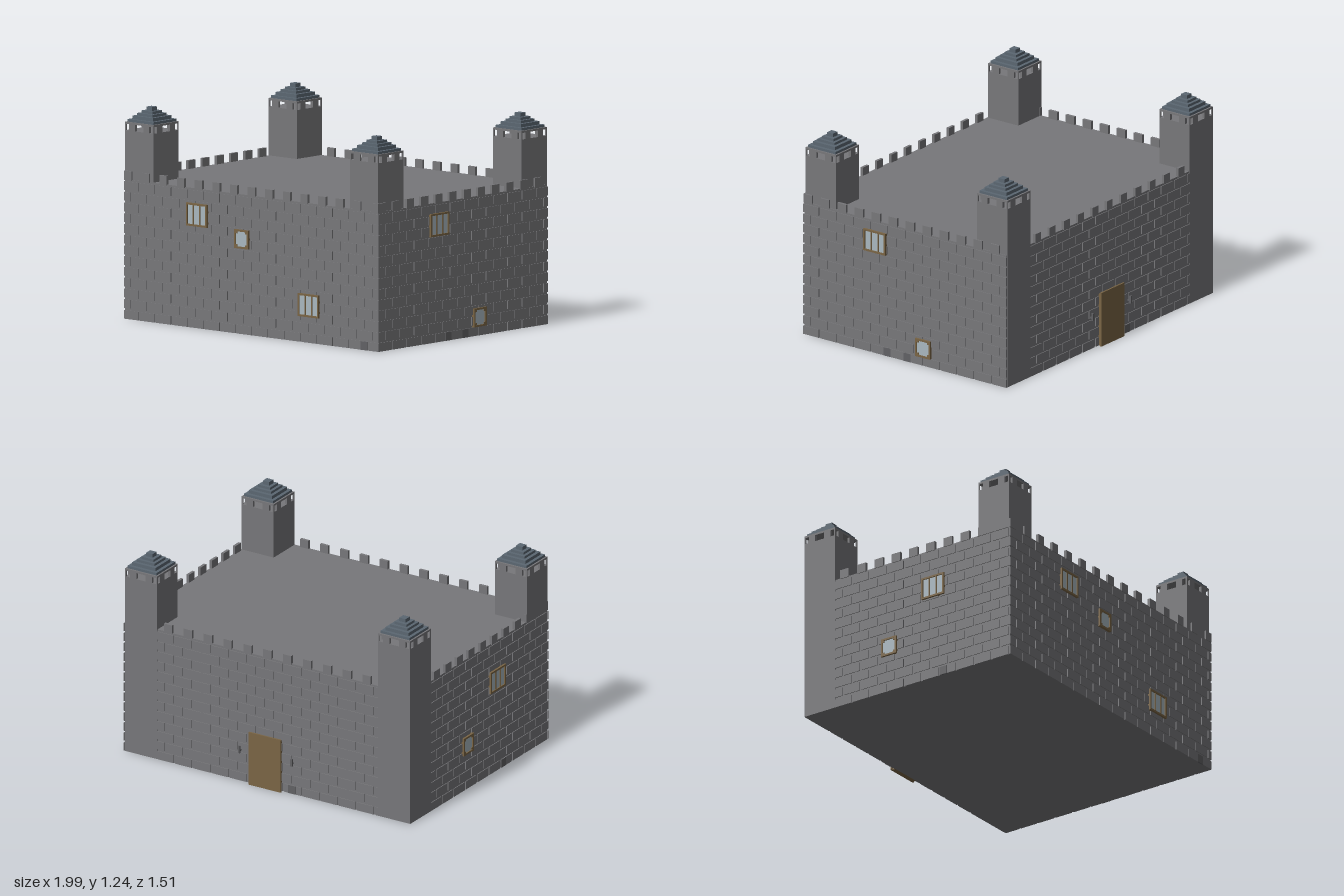
import * as THREE from 'three';
import { mergeGeometries } from 'three/addons/utils/BufferGeometryUtils.js';

const mat = (color) => new THREE.MeshStandardMaterial({ color });
const stone = mat(0x77777a);
const darkStone = mat(0x616164);
const slate = mat(0x5b6772);
const wood = mat(0x7a6545);
const glass = mat(0xa9b7bf);

// Box geometry given by its limits on each axis
function span(x0, x1, y0, y1, z0, z1) {
  return new THREE.BoxGeometry(x1 - x0, y1 - y0, z1 - z0)
    .translate((x0 + x1) / 2, (y0 + y1) / 2, (z0 + z1) / 2);
}

function add(parent, name, geos, material) {
  const mesh = new THREE.Mesh(Array.isArray(geos) ? mergeGeometries(geos) : geos, material);
  mesh.name = name;
  parent.add(mesh);
  return mesh;
}

// Staggered courses of slightly raised bricks
function bricks(u0, u1) {
  const geos = [], rows = 13, h = 0.815 / rows, w = 0.125, gap = 0.012;
  for (let r = 0; r < rows; r++) {
    for (let u = u0 - (r % 2 ? w / 2 : 0); u < u1; u += w) {
      const a = Math.max(u, u0), b = Math.min(u + w - gap, u1);
      if (b - a > 0.01) geos.push(span(a, b, r * h, (r + 1) * h - gap, -0.002, 0.005));
    }
  }
  return geos;
}

// Evenly spaced merlons along a wall top
function merlons(start, step, count, width) {
  return Array.from({ length: count }, (_, i) => {
    const u = start + i * step;
    return span(u - width / 2, u + width / 2, 0.81, 0.865, -0.012, 0.005);
  });
}

// Framed window; wide ones have two mullions, small ones have filled corners
function windowUnit(parent, u, y, wide) {
  const g = new THREE.Group();
  g.name = wide ? 'wideWindow' : 'smallWindow';
  g.position.set(u, y, 0);
  parent.add(g);
  const w = wide ? 0.08 : 0.054, h = wide ? 0.067 : 0.055, t = 0.011, d = 0.017;
  const frame = [
    span(-w, w, h - t, h, 0, d), span(-w, w, -h, t - h, 0, d),
    span(-w, t - w, t - h, h - t, 0, d), span(w - t, w, t - h, h - t, 0, d),
  ];
  if (wide) {
    for (const s of [-1, 1]) frame.push(span(s * 0.025 - 0.004, s * 0.025 + 0.004, t - h, h - t, 0, d - 0.002));
  } else {
    for (const sx of [-1, 1]) for (const sy of [-1, 1]) {
      frame.push(new THREE.BoxGeometry(0.012, 0.012, d - 0.002)
        .translate(sx * (w - t - 0.006), sy * (h - t - 0.006), (d - 0.002) / 2));
    }
  }
  add(g, 'windowFrame', frame, wood);
  add(g, 'windowGlass', span(t - w, w - t, t - h, h - t, 0, 0.01), glass);
}

// Wall: local x runs along the face, local z points outward
function wall(parent, name, x, z, angle, spec) {
  const g = new THREE.Group();
  g.name = name;
  g.position.set(x, 0, z);
  g.rotation.y = angle;
  parent.add(g);
  add(g, 'bricks', bricks(...spec.range), stone);
  add(g, 'merlons', merlons(...spec.merlons), stone);
  for (const w of spec.windows ?? []) windowUnit(g, ...w);
  for (const u of spec.vents) add(g, 'footStone', span(u - 0.025, u + 0.025, 0, 0.05, 0, 0.007), darkStone);
  return g;
}

// Corner tower with an open belfry and a stepped roof
function tower(parent, name, x, z, base) {
  const g = new THREE.Group();
  g.name = name;
  g.position.set(x, 0, z);
  parent.add(g);
  const r = 0.11;
  add(g, 'towerShaft', span(-r, r, base, 1.1, -r, r), stone);
  const posts = [];
  for (let k = 0; k < 4; k++) {
    const side = [
      span(-r, -r + 0.008, 1.1, 1.14, r - 0.008, r),
      span(-0.077, -0.032, 1.1, 1.14, r - 0.015, r),
      span(0.032, 0.077, 1.1, 1.14, r - 0.015, r),
    ];
    for (const p of side) posts.push(p.rotateY(k * Math.PI / 2));
  }
  add(g, 'belfryPosts', posts, stone);
  add(g, 'belfryLintel', span(-r, r, 1.138, 1.15, -r, r), stone);
  const tiers = [[0.1, 1.165], [0.08, 1.185], [0.06, 1.2], [0.042, 1.215], [0.022, 1.237]];
  let y = 1.15;
  const roof = tiers.map(([s, top]) => {
    const tier = span(-s, s, y, top, -s, s);
    y = top;
    return tier;
  });
  add(g, 'steppedRoof', roof, slate);
}

export function createModel() {
  const model = new THREE.Group();
  model.name = 'castle';

  add(model, 'keep', span(-0.98, 0.98, 0, 0.815, -0.73, 0.735), stone);

  wall(model, 'frontWall', 0, 0.735, 0, {
    range: [-0.985, 0.985],
    merlons: [-0.955, 0.1365, 15, 0.056],
    windows: [[-0.415, 0.662, true], [-0.068, 0.555, false], [0.45, 0.218, true]],
    vents: [0.875],
  });
  wall(model, 'rightWall', 0.98, 0, Math.PI / 2, {
    range: [-0.74, 0.735],
    merlons: [-0.708, 0.1235, 12, 0.062],
    windows: [[-0.215, 0.688, true], [0.135, 0.108, false]],
    vents: [-0.13, 0.015],
  });
  wall(model, 'leftWall', -0.98, 0, -Math.PI / 2, {
    range: [-0.515, 0.74],
    merlons: [-0.45, 0.1235, 10, 0.062],
    windows: [[0.19, 0.578, true], [-0.125, 0.28, false]],
    vents: [0.26],
  });
  const back = wall(model, 'backWall', 0, -0.73, Math.PI, {
    range: [-0.755, 0.765],
    merlons: [-0.68, 0.1365, 11, 0.056],
    vents: [0.17],
  });

  // Door with a proud outer panel, and a torch on each side
  add(back, 'doorFrame', span(-0.1, 0.1, 0, 0.32, 0, 0.022), wood);
  add(back, 'door', span(-0.11, 0.11, 0, 0.33, 0.02, 0.03), wood);
  for (const s of [-1, 1]) {
    add(back, 'torch', span(s * 0.18 - 0.006, s * 0.18 + 0.006, 0.18, 0.225, 0.015, 0.027), darkStone);
    add(back, 'torchBracket', span(s * 0.18 - 0.004, s * 0.18 + 0.004, 0.19, 0.2, 0, 0.016), darkStone);
  }

  // Back towers reach the ground; front towers rise from behind the walls
  tower(model, 'backLeftTower', 0.865, -0.625, 0);
  tower(model, 'backRightTower', -0.875, -0.625, 0);
  tower(model, 'frontLeftTower', 0.865, 0.62, 0.81);
  tower(model, 'frontRightTower', -0.875, 0.62, 0.81);
  return model;
}
